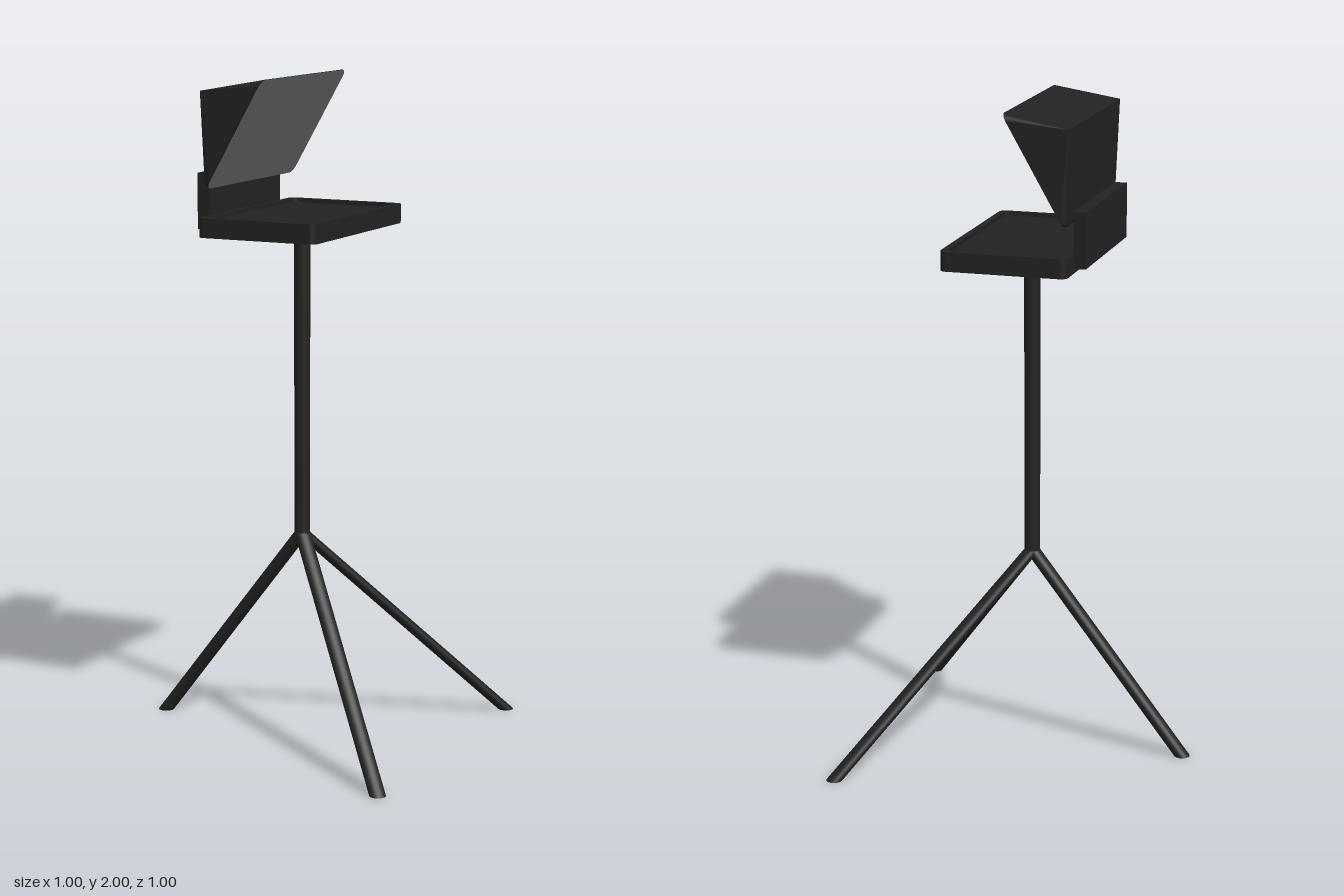
import * as THREE from 'three';
import { ConvexGeometry } from 'three/addons/geometries/ConvexGeometry.js';

// Rounded rectangle centred on the origin
function roundedRect(w, h, r, Type = THREE.Shape) {
  const s = new Type(), x = w / 2, y = h / 2;
  s.absarc(x - r, y - r, r, 0, Math.PI / 2);
  s.absarc(-x + r, y - r, r, Math.PI / 2, Math.PI);
  s.absarc(-x + r, -y + r, r, Math.PI, Math.PI * 1.5);
  s.absarc(x - r, -y + r, r, Math.PI * 1.5, Math.PI * 2);
  s.closePath();
  return s;
}

// Horizontal slab from an outline, standing on height y
function slab(shape, y, depth) {
  const g = new THREE.ExtrudeGeometry(shape, { depth, bevelEnabled: false, curveSegments: 6 });
  return g.rotateX(-Math.PI / 2).translate(0, y, 0);
}

export function createModel() {
  const model = new THREE.Group();
  const black = new THREE.MeshStandardMaterial({ color: 0x222222 });
  black.name = 'matte black';
  const grey = new THREE.MeshStandardMaterial({ color: 0x737373 });
  grey.name = 'glass grey';
  const add = (name, geometry, material = black) => {
    const mesh = new THREE.Mesh(geometry, material);
    mesh.name = name;
    model.add(mesh);
  };

  // Tripod legs: upright cylinders sheared outwards, so the feet are cut level
  const radius = 0.024, legTop = 0.62, reach = 0.477;
  for (const [name, dx, dz] of [['rightLeg', -1, 0], ['frontLeg', 1, 1], ['backLeg', 1, -1]]) {
    const leg = new THREE.CylinderGeometry(radius, radius, legTop, 24).translate(0, legTop / 2, 0);
    const kx = dx * reach / legTop, kz = dz * reach / legTop;
    leg.applyMatrix4(new THREE.Matrix4().set(
      1, -kx, 0, dx * reach,
      0, 1, 0, 0,
      0, -kz, 1, dz * reach,
      0, 0, 0, 1));
    add(name, leg);
  }

  // Centre pole
  add('pole', new THREE.CylinderGeometry(radius, radius, 0.94, 24).translate(0, 1.08, 0));

  // Tray with a shallow raised rim
  add('tray', slab(roundedRect(0.38, 0.61, 0.022), 1.54, 0.046));
  const rim = roundedRect(0.38, 0.61, 0.022);
  rim.holes.push(roundedRect(0.342, 0.576, 0.018, THREE.Path));
  add('trayRim', slab(rim, 1.586, 0.012));

  // Upright plate joining the tray and the hood
  add('backPlate', new THREE.BoxGeometry(0.037, 0.165, 0.46).translate(-0.2085, 1.638, 0));

  // Tilted glass, leaning out at the top
  const bottom = new THREE.Vector2(-0.174, 1.68), top = new THREE.Vector2(0.008, 1.999);
  const tilt = Math.atan2(top.x - bottom.x, top.y - bottom.y);
  const pane = new THREE.ShapeGeometry(roundedRect(0.56, bottom.distanceTo(top), 0.026), 6);
  pane.rotateY(Math.PI / 2).rotateZ(-tilt);
  pane.translate((bottom.x + top.x) / 2, (bottom.y + top.y) / 2, 0);

  // Wedge-shaped hood behind the glass
  const points = [];
  const pos = pane.getAttribute('position');
  for (let i = 0; i < pos.count; i++) points.push(new THREE.Vector3().fromBufferAttribute(pos, i));
  for (const z of [-0.28, 0.28]) {
    points.push(new THREE.Vector3(-0.19, 1.963, z), new THREE.Vector3(-0.179, 1.69, z * 0.98));
  }
  add('hood', new ConvexGeometry(points));
  add('glass', pane.translate(0.002 * Math.cos(tilt), -0.002 * Math.sin(tilt), 0), grey);

  return model;
}
